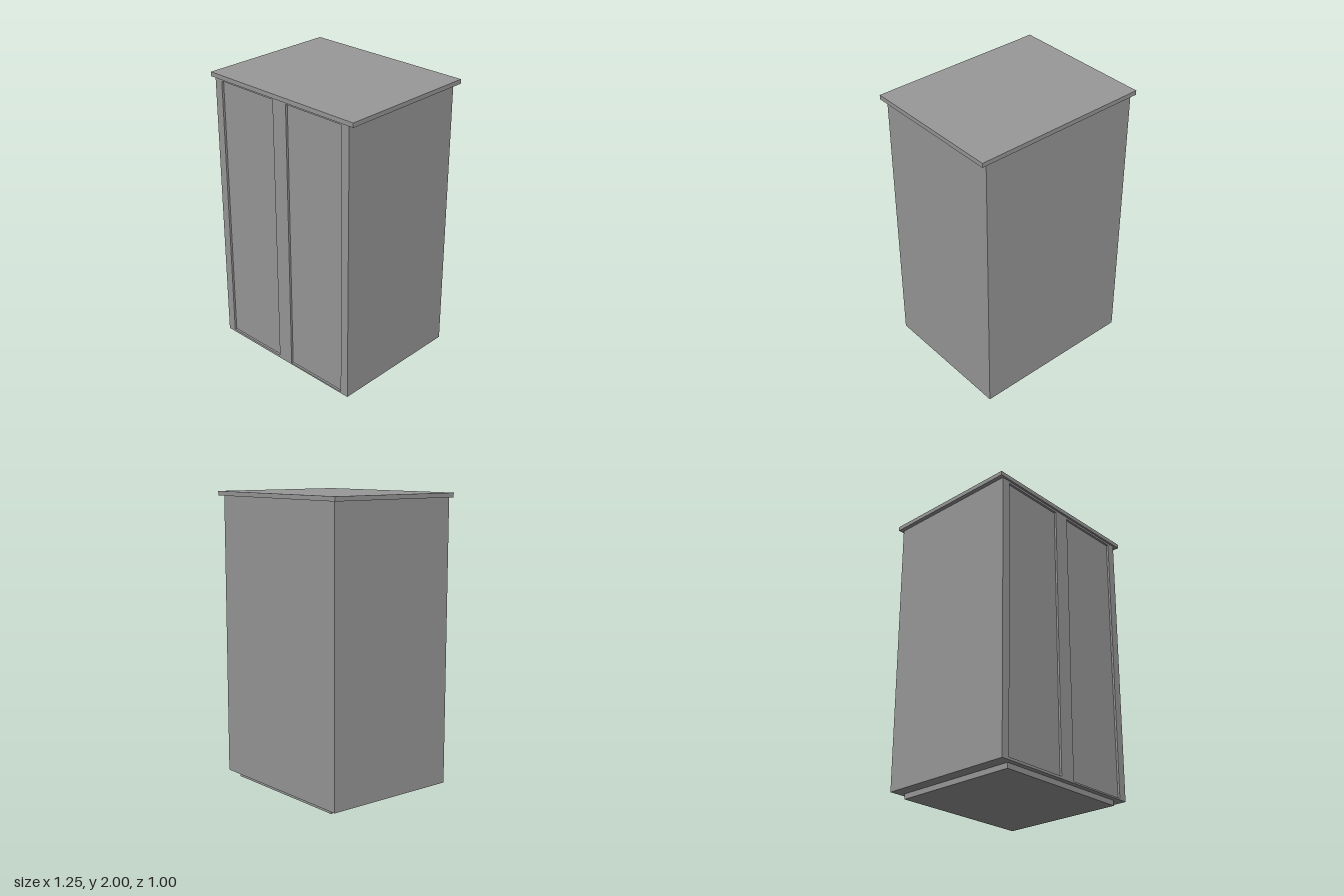
import * as THREE from 'three';

const grey = new THREE.MeshStandardMaterial({ color: 0x999999 });
grey.name = 'grey';

// Box given by its lower and upper limits on each axis
function boxPart(name, [x0, x1], [y0, y1], [z0, z1]) {
  const mesh = new THREE.Mesh(new THREE.BoxGeometry(x1 - x0, y1 - y0, z1 - z0), grey);
  mesh.position.set((x0 + x1) / 2, (y0 + y1) / 2, (z0 + z1) / 2);
  mesh.name = name;
  return mesh;
}

// Corner points of an upright rectangle
function rectangle(x0, x1, y0, y1) {
  return [[x0, y0], [x1, y0], [x1, y1], [x0, y1]].map(([x, y]) => new THREE.Vector2(x, y));
}

export function createModel() {
  const group = new THREE.Group();
  group.name = 'cabinet';
  const recess = 0.015, front = 0.487;

  group.add(boxPart('plinth', [-0.51, 0.5], [0, 0.036], [-0.44, 0.45]));
  group.add(boxPart('body', [-0.595, 0.58], [0.036, 1.97], [-0.48, front - recess]));
  group.add(boxPart('topSlab', [-0.623, 0.623], [1.97, 2], [-0.5, 0.5]));

  // Front frame whose two openings leave the door panels recessed
  const frame = new THREE.Shape(rectangle(-0.595, 0.58, 0.036, 1.97));
  frame.holes.push(
    new THREE.Path(rectangle(-0.535, -0.063, 0.053, 1.955).reverse()),
    new THREE.Path(rectangle(0.053, 0.52, 0.047, 1.955).reverse())
  );
  const frontFrame = new THREE.Mesh(
    new THREE.ExtrudeGeometry(frame, { depth: recess, bevelEnabled: false }), grey);
  frontFrame.position.z = front - recess;
  frontFrame.name = 'frontFrame';
  group.add(frontFrame);

  return group;
}
